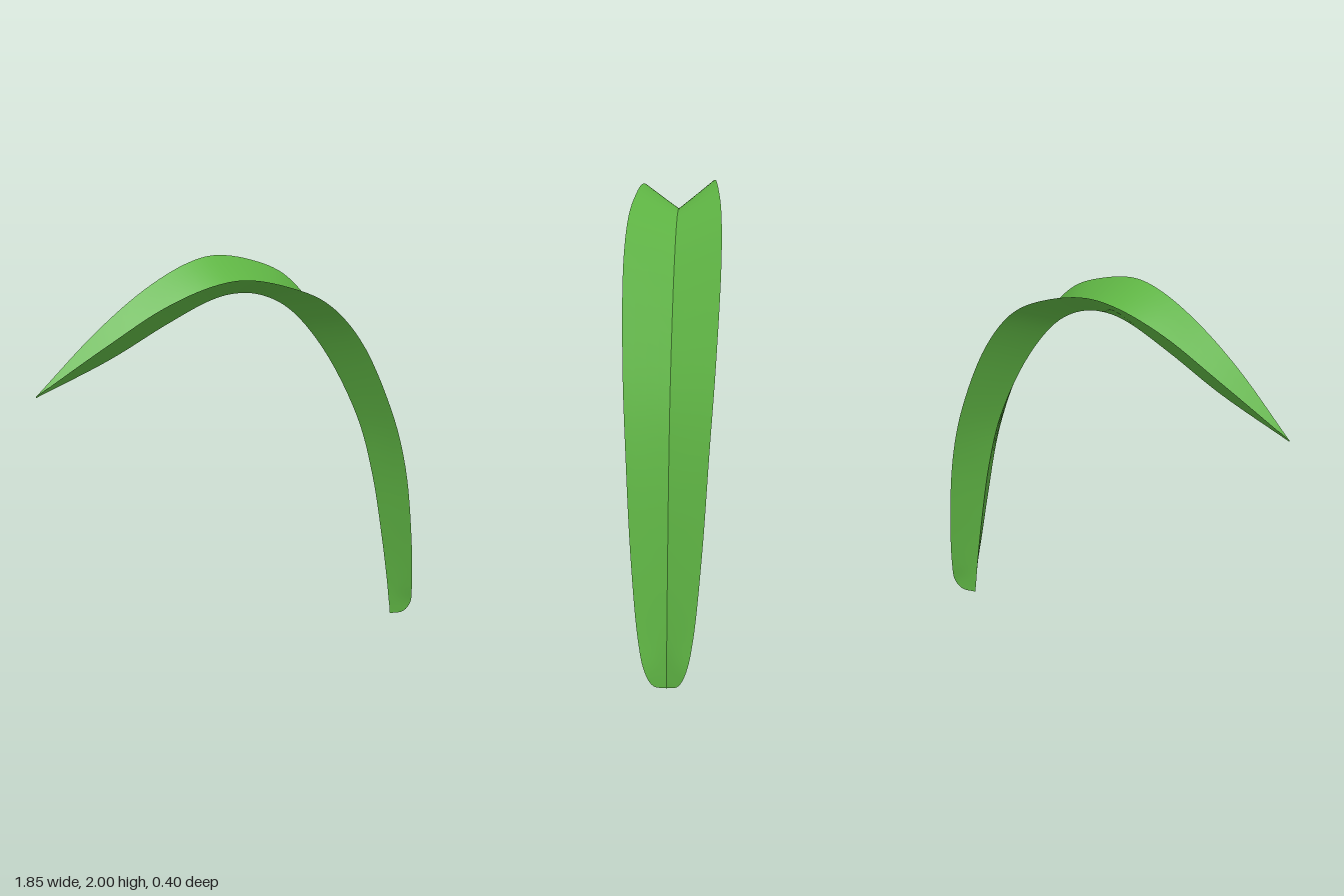
import * as THREE from 'three';

// Stations from the pointed tip to the rounded base:
// midrib x, midrib y, edge x, edge y, half width
const stations = [
  [-0.925, 1.565, -0.925, 1.57, 0],
  [-0.6, 1.675, -0.63, 1.775, 0.075],
  [-0.35, 1.785, -0.4, 1.91, 0.112],
  [-0.15, 1.86, -0.2, 1.985, 0.143],
  [-0.04, 1.875, -0.06, 2.0, 0.163],
  [0.08, 1.855, 0.12, 1.955, 0.18],
  [0.22, 1.775, 0.3, 1.86, 0.195],
  [0.4, 1.56, 0.47, 1.66, 0.2],
  [0.6, 1.18, 0.67, 1.27, 0.185],
  [0.7, 0.86, 0.78, 0.95, 0.165],
  [0.78, 0.48, 0.86, 0.55, 0.14],
  [0.83, 0.2, 0.91, 0.22, 0.108],
  [0.845, 0.1, 0.925, 0.1, 0.083],
  [0.855, 0.04, 0.905, 0.03, 0.05],
  [0.86, 0, 0.86, 0, 0],
];

// The whole leaf is twisted very slightly towards its tip
const bend = (x) => 0.02 * THREE.MathUtils.clamp((0.3 - x) / 1.225, 0, 1) ** 1.5;

const midrib = new THREE.CatmullRomCurve3(
  stations.map(([x, y]) => new THREE.Vector3(x, y, bend(x))));

const edgeCurve = (side) => new THREE.CatmullRomCurve3(
  stations.map(([, , x, y, w]) => {
    const drop = side > 0 ? 0.7 * w * THREE.MathUtils.clamp(0.4 - x, 0, 0.15) : 0;
    return new THREE.Vector3(x, y - drop, side * w + bend(x));
  }));

// One half of the folded blade, ruled from the midrib to its outer edge
function bladeHalf(side) {
  const edge = edgeCurve(side);
  const geometry = new THREE.PlaneGeometry(1, 1, 84, 4);
  const pos = geometry.attributes.position;
  for (let i = 0; i < pos.count; i++) {
    const t = THREE.MathUtils.clamp(pos.getX(i) + 0.5, 0, 1);
    const v = pos.getY(i) + 0.5;
    const across = side > 0 ? 1 - v : v;
    const p = midrib.getPoint(t).lerp(edge.getPoint(t), across);
    pos.setXYZ(i, p.x, p.y, p.z);
  }
  geometry.computeVertexNormals();
  return geometry;
}

export function createModel() {
  const leaf = new THREE.Group();
  leaf.name = 'leaf';
  const material = new THREE.MeshStandardMaterial({ color: 0x5fb544, side: THREE.DoubleSide });
  for (const [name, side] of [['frontBladeHalf', 1], ['backBladeHalf', -1]]) {
    const mesh = new THREE.Mesh(bladeHalf(side), material);
    mesh.name = name;
    leaf.add(mesh);
  }
  return leaf;
}
